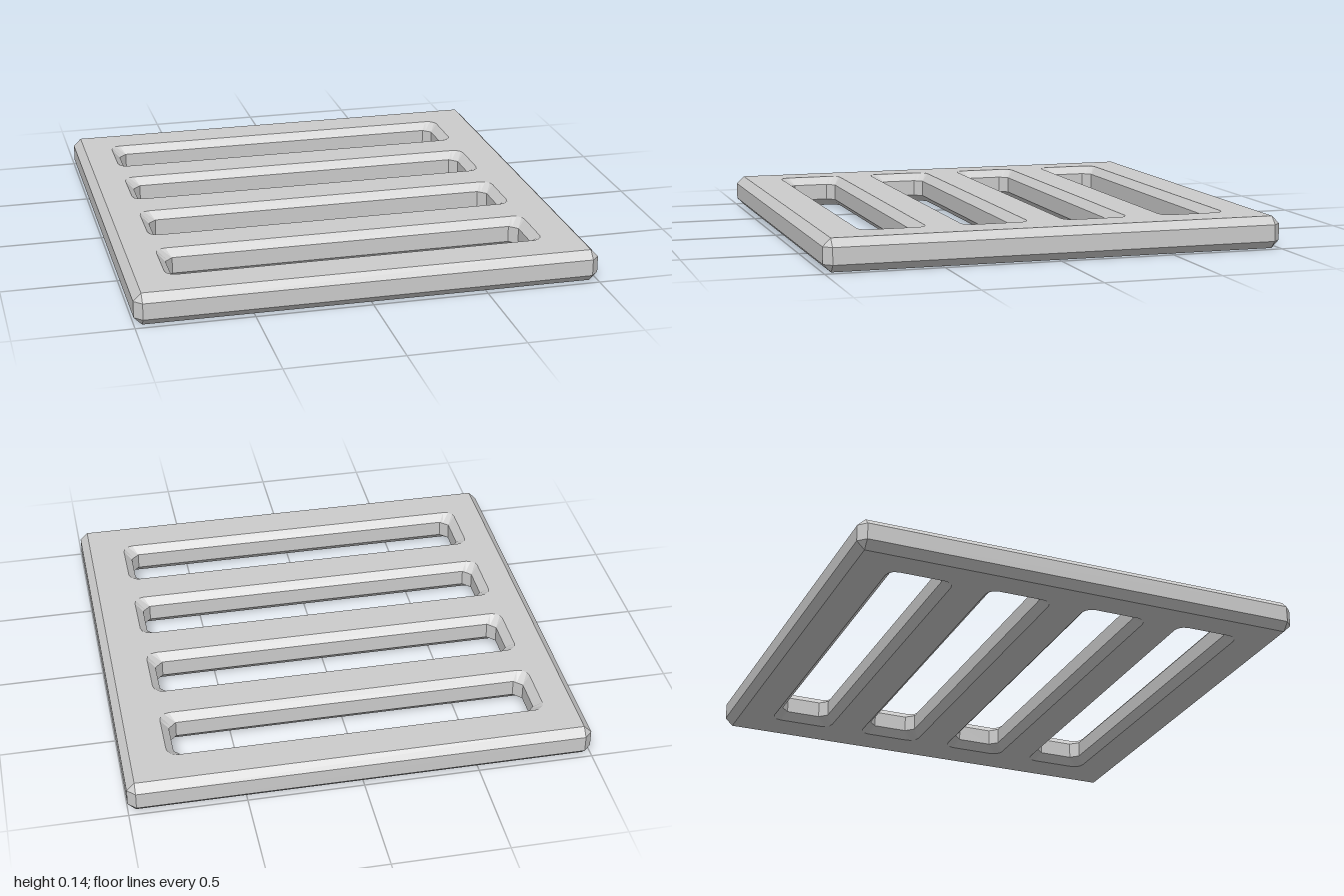
import * as THREE from 'three';

const HEIGHT = 0.14, BEVEL = 0.034, HALF = 1;
const SLOT_X = -0.015, SLOT_Z = [-0.67, -0.225, 0.22, 0.665];
const material = new THREE.MeshStandardMaterial({ color: 0xcccccc, flatShading: true });

// Rectangle outline in x/z; each corner is cut straight, or rounded, over n steps
function outline(hx, hz, cut, n, rounded, cx = 0, cz = 0) {
  const pts = [];
  for (let c = 0; c < 4; c++) {
    const sx = c === 0 || c === 3 ? 1 : -1, sz = c < 2 ? 1 : -1;
    for (let i = 0; i <= n; i++) {
      const t = c % 2 ? 1 - i / n : i / n;
      const u = rounded ? Math.cos(t * Math.PI / 2) : 1 - t;
      const v = rounded ? Math.sin(t * Math.PI / 2) : t;
      pts.push(new THREE.Vector2(cx + sx * (hx - cut + cut * u), cz + sz * (hz - cut + cut * v)));
    }
  }
  return pts;
}

function mesh(name, positions) {
  const geometry = new THREE.BufferGeometry();
  geometry.setAttribute('position', new THREE.Float32BufferAttribute(positions, 3));
  geometry.computeVertexNormals();
  const m = new THREE.Mesh(geometry, material);
  m.name = name;
  return m;
}

// Wall through outlines stacked upwards; inward walls face into the opening
function wall(name, outlines, heights, inward) {
  const pos = [], tri = new THREE.Triangle();
  const add = (a, b, c) => {
    tri.set(a, b, c);
    if (tri.getArea() < 1e-7) return;
    for (const p of inward ? [a, c, b] : [a, b, c]) pos.push(p.x, p.y, p.z);
  };
  for (let k = 0; k + 1 < outlines.length; k++) {
    const low = outlines[k].map(p => new THREE.Vector3(p.x, heights[k], p.y));
    const high = outlines[k + 1].map(p => new THREE.Vector3(p.x, heights[k + 1], p.y));
    for (let i = 0; i < low.length; i++) {
      const j = (i + 1) % low.length;
      add(low[i], high[i], low[j]);
      add(low[j], high[i], high[j]);
    }
  }
  return mesh(name, pos);
}

// Flat face with openings, turned up or down
function face(name, contour, holes, y, up) {
  const pts = [contour, ...holes].flat(), pos = [];
  for (const [a, b, c] of THREE.ShapeUtils.triangulateShape(contour.slice(), holes.map(h => h.slice()))) {
    const facesUp = THREE.ShapeUtils.area([pts[a], pts[b], pts[c]]) < 0;
    for (const i of facesUp === up ? [a, b, c] : [a, c, b]) pos.push(pts[i].x, y, pts[i].y);
  }
  return mesh(name, pos);
}

export function createModel() {
  const group = new THREE.Group();
  group.name = 'slottedPlate';
  const heights = [0, BEVEL, HEIGHT - BEVEL, HEIGHT];

  // Bevelled outer edge
  const inset = HALF - BEVEL;
  const small = outline(inset, inset, 0, 1, false);
  const large = outline(HALF, HALF, BEVEL, 1, false);
  group.add(wall('outerEdge', [small, large, large, small], heights, false));

  // Four slots, flared at top and bottom
  const flares = SLOT_Z.map((z, i) => {
    const flare = outline(0.823, 0.145, 0.045, 3, true, SLOT_X, z);
    const throat = outline(0.789, 0.113, 0.035, 3, false, SLOT_X, z);
    group.add(wall(`slot${i + 1}`, [flare, throat, throat, flare], heights, true));
    return flare;
  });

  // Top and bottom faces
  const rim = [[1, 1], [-1, 1], [-1, -1], [1, -1]].map(([x, z]) => new THREE.Vector2(x * inset, z * inset));
  group.add(face('topFace', rim, flares, HEIGHT, true));
  group.add(face('bottomFace', rim, flares, 0, false));
  return group;
}
